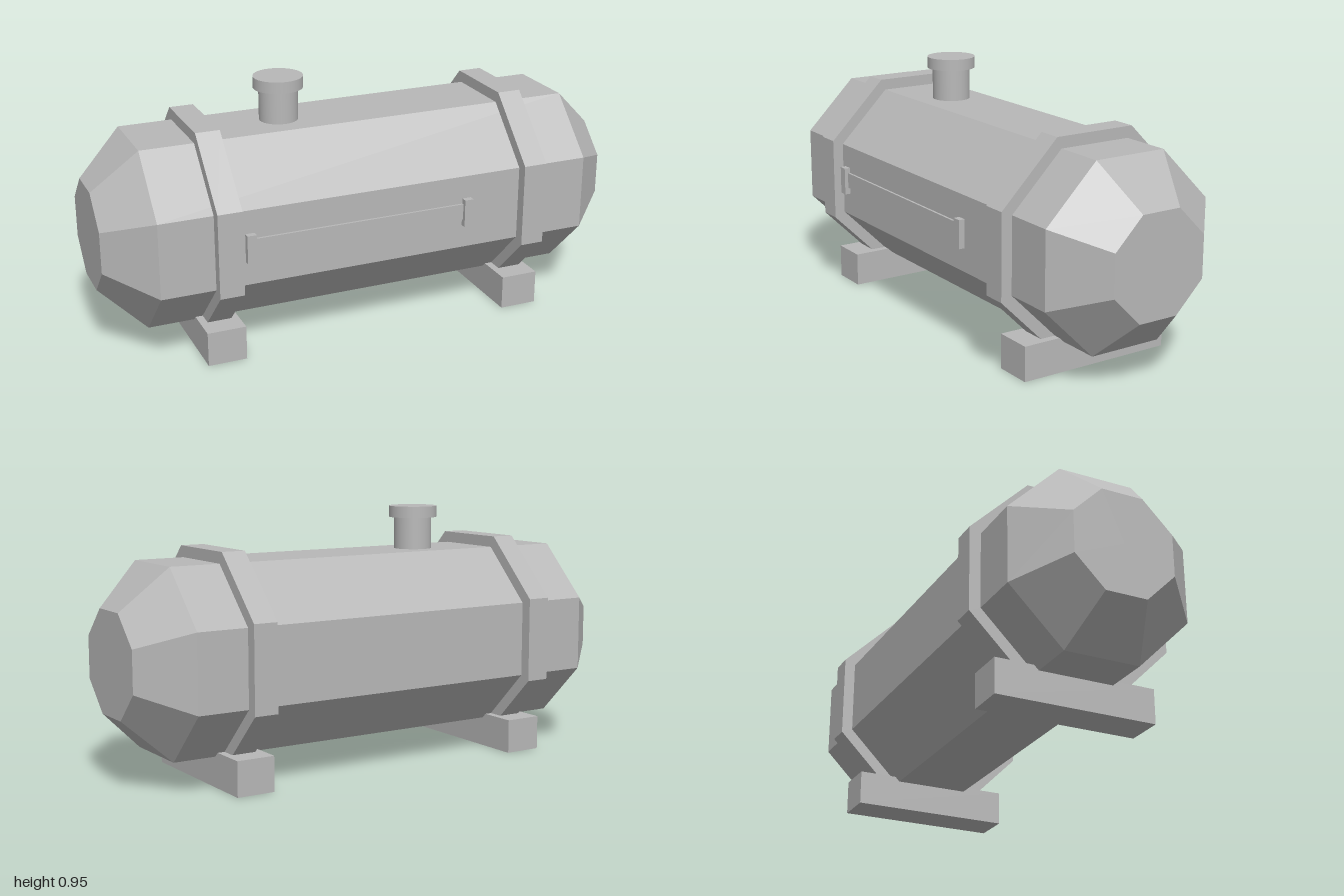
import * as THREE from 'three';

const AXIS_Y = 0.451; // height of the tank's centre line

export function createModel() {
  const model = new THREE.Group();
  model.name = 'storageTank';

  const grey = new THREE.MeshStandardMaterial({ color: 0xb8b8b8 });
  grey.name = 'grey metal';

  function add(name, geometry, x, y, z) {
    const mesh = new THREE.Mesh(geometry, grey);
    mesh.name = name;
    mesh.position.set(x, y, z);
    model.add(mesh);
    return mesh;
  }

  const box = (name, w, h, d, x, y, z) => add(name, new THREE.BoxGeometry(w, h, d), x, y, z);

  // Faceted eight-sided solid lying along x; profile is [apothem, position along axis]
  function octagonal(profile) {
    const points = profile.map(([a, t]) => new THREE.Vector2(a / Math.cos(Math.PI / 8), t));
    const lathe = new THREE.LatheGeometry(points, 8, Math.PI / 8);
    lathe.rotateZ(Math.PI / 2);
    const flat = lathe.toNonIndexed();
    flat.computeVertexNormals();
    return flat;
  }

  // Tank body with tapered ends
  add('tankBody', octagonal([
    [0, -1], [0.186, -1], [0.339, -0.835],
    [0.339, 0.835], [0.186, 1], [0, 1],
  ]), 0, AXIS_Y, 0);

  // Straps and the feet under them
  const strap = octagonal([[0, -0.045], [0.381, -0.045], [0.381, 0.045], [0, 0.045]]);
  for (const [side, x] of [['right', -0.591], ['left', 0.601]]) {
    add(side + 'Strap', strap, x, AXIS_Y, 0);
    box(side + 'Foot', 0.145, 0.129, 0.604, x, 0.0645, 0);
  }

  // Filler neck and lid
  add('fillerNeck', new THREE.CylinderGeometry(0.072, 0.072, 0.15, 32), -0.27, 0.845, 0);
  add('fillerLid', new THREE.CylinderGeometry(0.092, 0.092, 0.043, 32), -0.27, 0.9325, 0);

  // Gauge strip with its two end brackets on the front
  box('gaugeStrip', 0.85, 0.06, 0.018, -0.085, 0.455, 0.339);
  for (const [side, x] of [['right', -0.508], ['left', 0.338]]) {
    box(side + 'GaugeBracket', 0.034, 0.106, 0.04, x, 0.452, 0.342);
  }

  return model;
}
